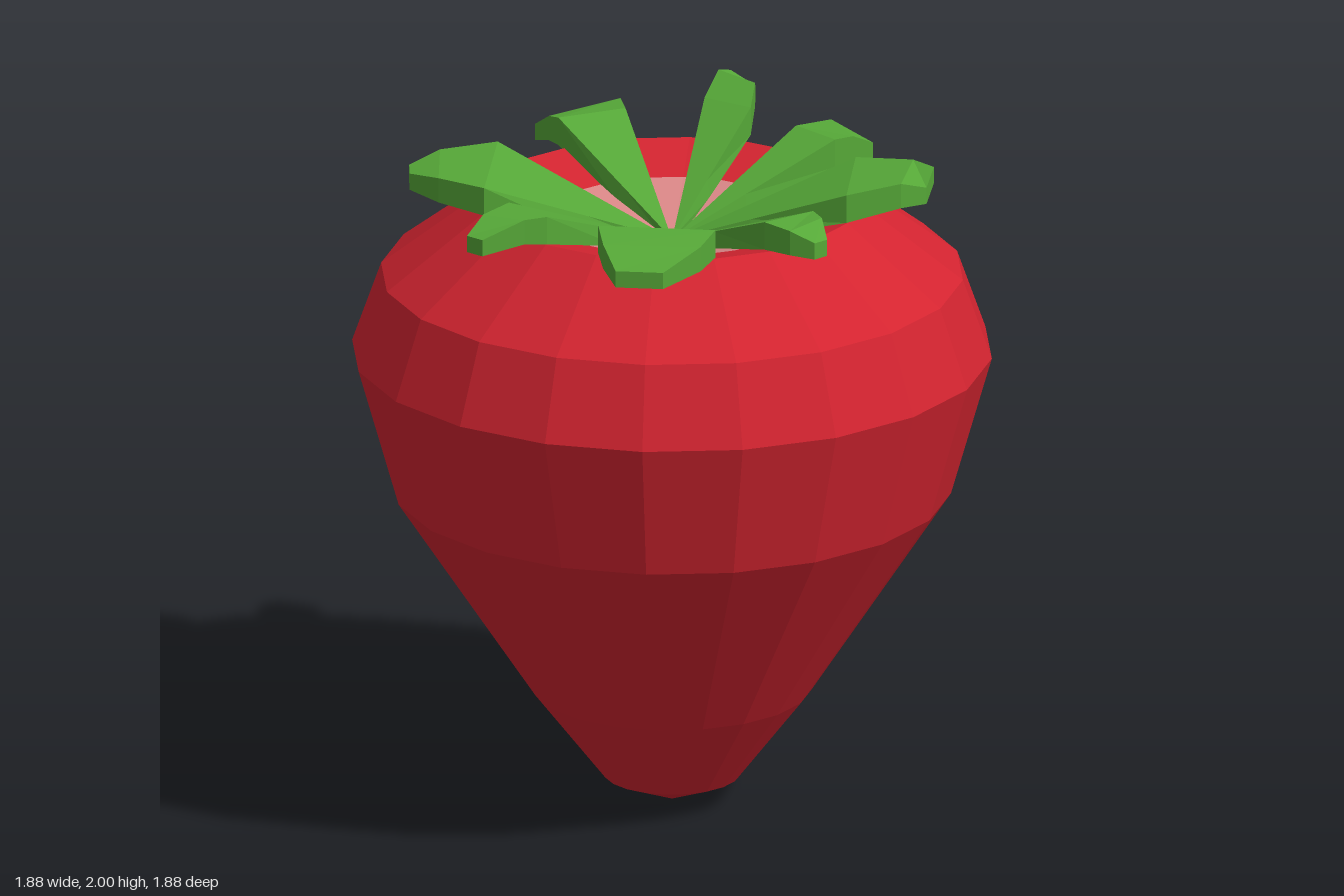
import * as THREE from 'three';

const material = (name, color) => {
  const m = new THREE.MeshStandardMaterial({ color, flatShading: true });
  m.name = name;
  return m;
};

// Faceted surface of revolution with 20 sides, profile from bottom to top
function turned(name, profile, mat) {
  const points = profile.map(([r, y]) => new THREE.Vector2(r, y));
  const mesh = new THREE.Mesh(new THREE.LatheGeometry(points, 20), mat);
  mesh.name = name;
  return mesh;
}

// Each leaf: cross-sections going outward, [left x, left z, right x, right z, left y, right y]
const LEAVES = {
  backLeaf: [[0, -.55, .17, -.53, 1.94, 1.94], [.04, -.66, .17, -.61, 1.94, 1.93], [.08, -.735, .155, -.715, 1.88, 1.88]],
  backLeftLeaf: [[.32, -.45, .53, -.17, 1.94, 1.94], [.5, -.5, .62, -.31, 1.96, 1.96], [.59, -.49, .64, -.4, 1.96, 1.93]],
  leftLeaf: [[.55, 0, .51, .17, 1.94, 1.94], [.61, .03, .6, .16, 1.94, 1.93], [.675, .08, .67, .13, 1.9, 1.9]],
  frontLeftLeaf: [[.45, .32, .165, .515, 1.94, 1.94], [.48, .42, .25, .59, 1.92, 1.92], [.475, .58, .36, .66, 1.88, 1.88]],
  frontLeaf: [[0, .555, -.17, .53, 1.94, 1.94], [-.03, .62, -.155, .66, 1.94, 1.94], [-.08, .75, -.14, .75, 1.9, 1.9]],
  frontRightLeaf: [[-.31, .48, -.56, .135, 1.94, 1.94], [-.47, .5, -.64, .3, 1.94, 1.94], [-.6, .48, -.655, .42, 1.92, 1.92]],
  rightLeaf: [[-.57, -.145, -.48, -.34, 1.94, 1.94], [-.62, -.16, -.57, -.42, 1.93, 1.93], [-.7, -.19, -.66, -.39, 1.88, 1.89]],
  backRightLeaf: [[-.33, -.52, -.15, -.52, 1.96, 1.97], [-.39, -.65, -.23, -.63, 2, 2], [-.4, -.715, -.33, -.745, 1.98, 1.94]],
};

// Wedge-shaped leaf that rises from the hollow and bends at its tip
function leaf(name, sections, mat) {
  const apex = [0, 1.73, 0], apexLow = [0, 1.7, 0];
  const rings = [[apex, apex, apexLow, apexLow]];
  // Halfway section with a wider underside
  const [ax, az, bx, bz, ay, by] = sections[0];
  const k = 0.45, w = 0.12;
  const dx = (ax - bx) * k * w, dz = (az - bz) * k * w;
  const rise = y => 1.73 + (y - 1.73) * k;
  rings.push([
    [ax * k, rise(ay), az * k], [bx * k, rise(by), bz * k],
    [bx * k - dx, rise(by) - .05, bz * k - dz], [ax * k + dx, rise(ay) - .05, az * k + dz],
  ]);
  sections.forEach(([lx, lz, rx, rz, ly, ry], i) => {
    const t = [0.085, 0.075, 0.05][i];
    rings.push([[lx, ly, lz], [rx, ry, rz], [rx, ry - t, rz], [lx, ly - t, lz]]);
  });
  const index = [];
  for (let i = 0; i < rings.length - 1; i++) {
    for (let j = 0; j < 4; j++) {
      const a = i * 4 + j, b = i * 4 + (j + 1) % 4;
      if (i > 0) index.push(a, b, b + 4);
      else if (j % 2) index.push(a, b, b + 4);
      index.push(a, b + 4, a + 4);
    }
  }
  const end = (rings.length - 1) * 4;
  index.push(end, end + 1, end + 2, end, end + 2, end + 3);
  const geo = new THREE.BufferGeometry();
  geo.setAttribute('position', new THREE.Float32BufferAttribute(rings.flat(2), 3));
  geo.setIndex(index);
  const flat = geo.toNonIndexed();
  flat.computeVertexNormals();
  const mesh = new THREE.Mesh(flat, mat);
  mesh.name = name;
  return mesh;
}

export function createModel() {
  const red = material('berry red', 0xd32430);
  const pink = material('pale pink', 0xd98686);
  const green = material('leaf green', 0x56a838);
  const model = new THREE.Group();
  model.name = 'strawberry';

  // Fruit, including the sloping lip of the hollow
  model.add(turned('fruit', [
    [0, 0], [0.2, 0.08], [0.41, 0.35], [0.82, 0.97], [0.94, 1.39],
    [0.855, 1.63], [0.56, 1.855], [0.36, 1.8],
  ], red));
  // Pale centre of the hollow
  model.add(turned('hollow', [[0.36, 1.8], [0, 1.72]], pink));

  // Crown of leaves
  const crown = new THREE.Group();
  crown.name = 'leafCrown';
  for (const [name, sections] of Object.entries(LEAVES)) crown.add(leaf(name, sections, green));
  model.add(crown);
  return model;
}
